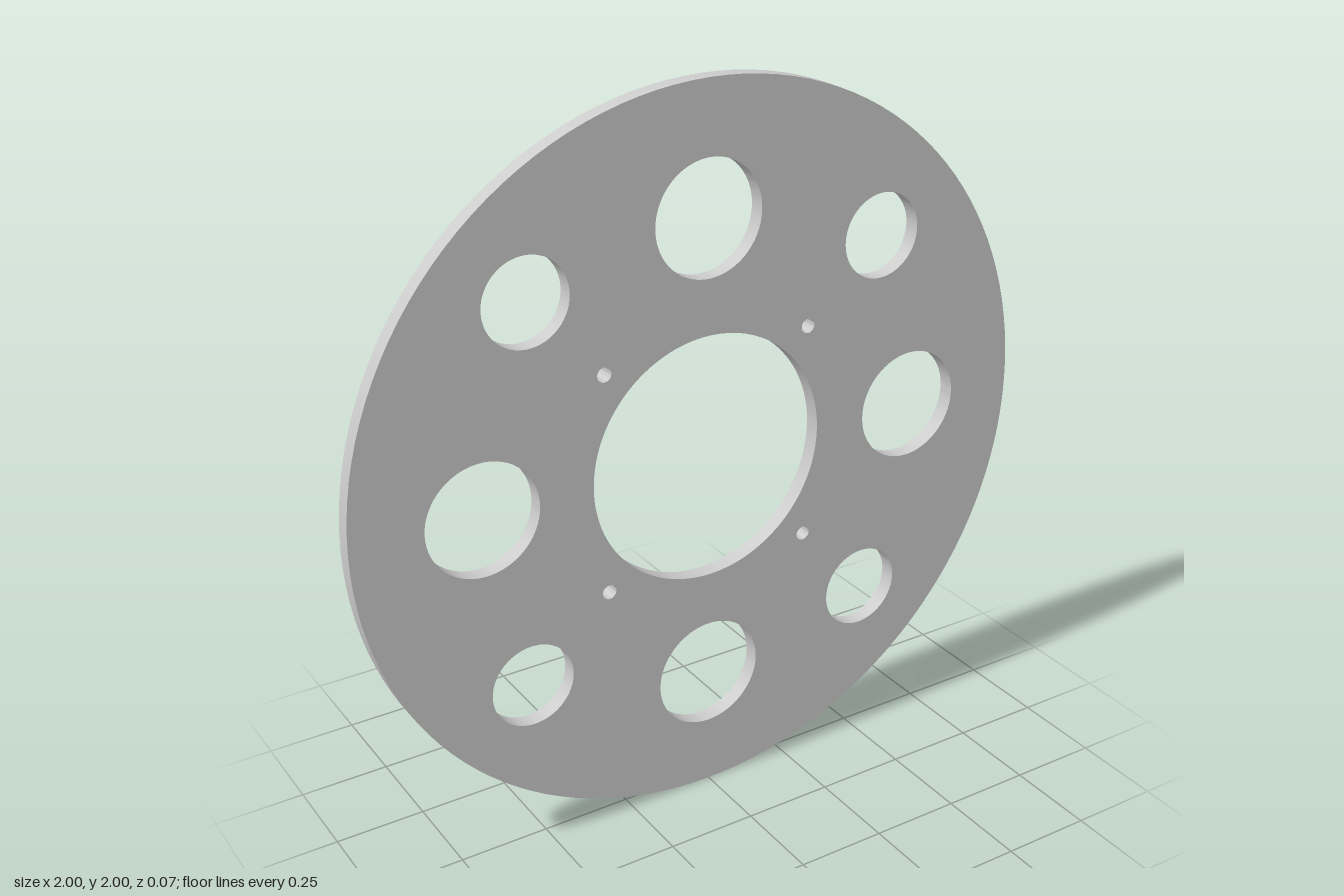
import * as THREE from 'three';
import { toCreasedNormals } from 'three/addons/utils/BufferGeometryUtils.js';

const CENTER_Y = 1;
const BACK = -0.036, PLATE_BACK = -0.01, PLATE_FRONT = 0.036;
const BOLT = 0.305, BOLT_R = 0.02;

const material = new THREE.MeshStandardMaterial({ color: 0xcccccc });

function addHole(shape, x, y, r) {
  shape.holes.push(new THREE.Path().absarc(x, y, r, 0, Math.PI * 2, true));
}

// Extrude a shape between two depths, smooth round walls and sharp rims
function slab(name, shape, z0, z1, segments) {
  const geometry = new THREE.ExtrudeGeometry(shape, {
    depth: z1 - z0, bevelEnabled: false, curveSegments: segments,
  });
  geometry.translate(0, 0, z0);
  const mesh = new THREE.Mesh(toCreasedNormals(geometry, Math.PI / 6), material);
  mesh.name = name;
  return mesh;
}

export function createModel() {
  const model = new THREE.Group();
  model.name = 'perforatedDisc';

  // Disc with a central bore
  const disc = new THREE.Shape().absarc(0, 0, 1, 0, Math.PI * 2, false);
  addHole(disc, 0, 0, 0.343);

  // Four each of the large, small (slightly offset) and bolt holes
  const smallHoles = [[0.535, 0.51], [-0.51, 0.535], [-0.535, -0.51], [0.51, -0.535]];
  for (let i = 0; i < 4; i++) {
    const a = i * Math.PI / 2;
    addHole(disc, 0.65 * Math.cos(a), 0.65 * Math.sin(a), 0.155);
    addHole(disc, ...smallHoles[i], 0.117);
    const b = a + Math.PI / 4, r = BOLT * Math.SQRT2;
    addHole(disc, r * Math.cos(b), r * Math.sin(b), BOLT_R);
  }
  const plate = slab('plate', disc, PLATE_BACK, PLATE_FRONT, 64);
  plate.position.y = CENTER_Y;
  model.add(plate);

  // Hexagonal nuts on the back, one corner pointing outward
  const hexagon = new THREE.Shape(Array.from({ length: 6 }, (_, i) => {
    const a = i * Math.PI / 3;
    return new THREE.Vector2(0.049 * Math.cos(a), 0.049 * Math.sin(a));
  }));
  addHole(hexagon, 0, 0, BOLT_R);
  for (let i = 0; i < 4; i++) {
    const a = (i + 0.5) * Math.PI / 2;
    const nut = slab('nut', hexagon, BACK, PLATE_BACK, 24);
    nut.position.set(BOLT * Math.SQRT2 * Math.cos(a), CENTER_Y + BOLT * Math.SQRT2 * Math.sin(a), 0);
    nut.rotation.z = a;
    model.add(nut);
  }
  return model;
}
